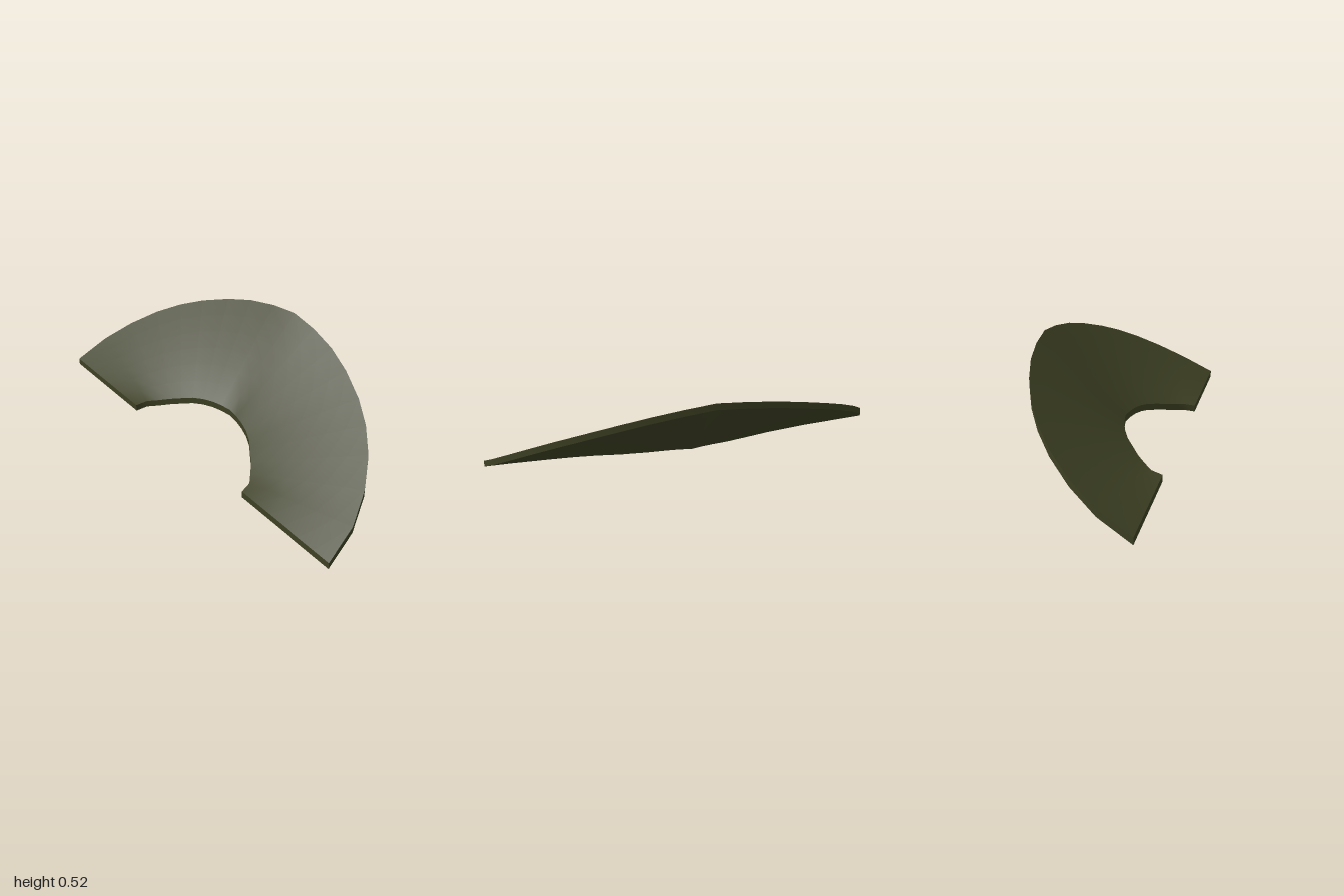
import * as THREE from 'three';

const olive = new THREE.MeshStandardMaterial({ color: 0x3d4023 });
olive.name = 'dark olive';

const THICK = 0.033;
// half rims [x, y, z] of the underside, from the straight end to the middle
const outerHalf = [
  [-0.337, 0, 1], [-0.18, 0.086, 0.97], [-0.05, 0.167, 0.9], [0.06, 0.242, 0.805], [0.143, 0.303, 0.7],
  [0.208, 0.354, 0.585], [0.266, 0.405, 0.44], [0.305, 0.444, 0.3], [0.328, 0.472, 0.15], [0.337, 0.489, 0],
];
const innerHalf = [
  [-0.337, 0, 0.43], [-0.282, 0.01, 0.415], [-0.24, 0.022, 0.37], [-0.2, 0.037, 0.325], [-0.165, 0.053, 0.275],
  [-0.13, 0.068, 0.225], [-0.105, 0.079, 0.17], [-0.088, 0.086, 0.115], [-0.076, 0.089, 0.06], [-0.066, 0.088, 0],
];

// Complete a half rim by mirroring it across z = 0
const mirrorRim = (half) => [
  ...half.map((p) => new THREE.Vector3(...p)),
  ...half.slice(0, -1).reverse().map(([x, y, z]) => new THREE.Vector3(x, y, -z)),
];
const raise = (rim) => rim.map((p) => p.clone().setY(p.y + THICK));

// Smooth ruled strip between two rims
function strip(name, a, b, steps) {
  const pos = [], index = [], row = steps + 1;
  a.forEach((p, i) => {
    for (let j = 0; j <= steps; j++) pos.push(...p.clone().lerp(b[i], j / steps).toArray());
    if (i === a.length - 1) return;
    for (let j = 0; j < steps; j++) {
      const k = i * row + j;
      index.push(k, k + 1, k + row + 1, k, k + row + 1, k + row);
    }
  });
  const geo = new THREE.BufferGeometry();
  geo.setAttribute('position', new THREE.Float32BufferAttribute(pos, 3));
  geo.setIndex(index);
  geo.computeVertexNormals();
  const mesh = new THREE.Mesh(geo, olive);
  mesh.name = name;
  return mesh;
}

export function createModel() {
  const group = new THREE.Group();
  group.name = 'curvedFlap';
  const outerBottom = mirrorRim(outerHalf), innerBottom = mirrorRim(innerHalf);
  const outerTop = raise(outerBottom), innerTop = raise(innerBottom);

  // broad faces and the two curved edges
  group.add(
    strip('topFace', innerTop, outerTop, 6),
    strip('outerEdge', outerTop, outerBottom, 1),
    strip('bottomFace', outerBottom, innerBottom, 6),
    strip('innerEdge', innerBottom, innerTop, 1),
  );

  // straight ends
  const last = outerTop.length - 1;
  group.add(
    strip('frontEnd', [outerTop[0], outerBottom[0]], [innerTop[0], innerBottom[0]], 1),
    strip('backEnd', [innerTop[last], innerBottom[last]], [outerTop[last], outerBottom[last]], 1),
  );
  return group;
}
